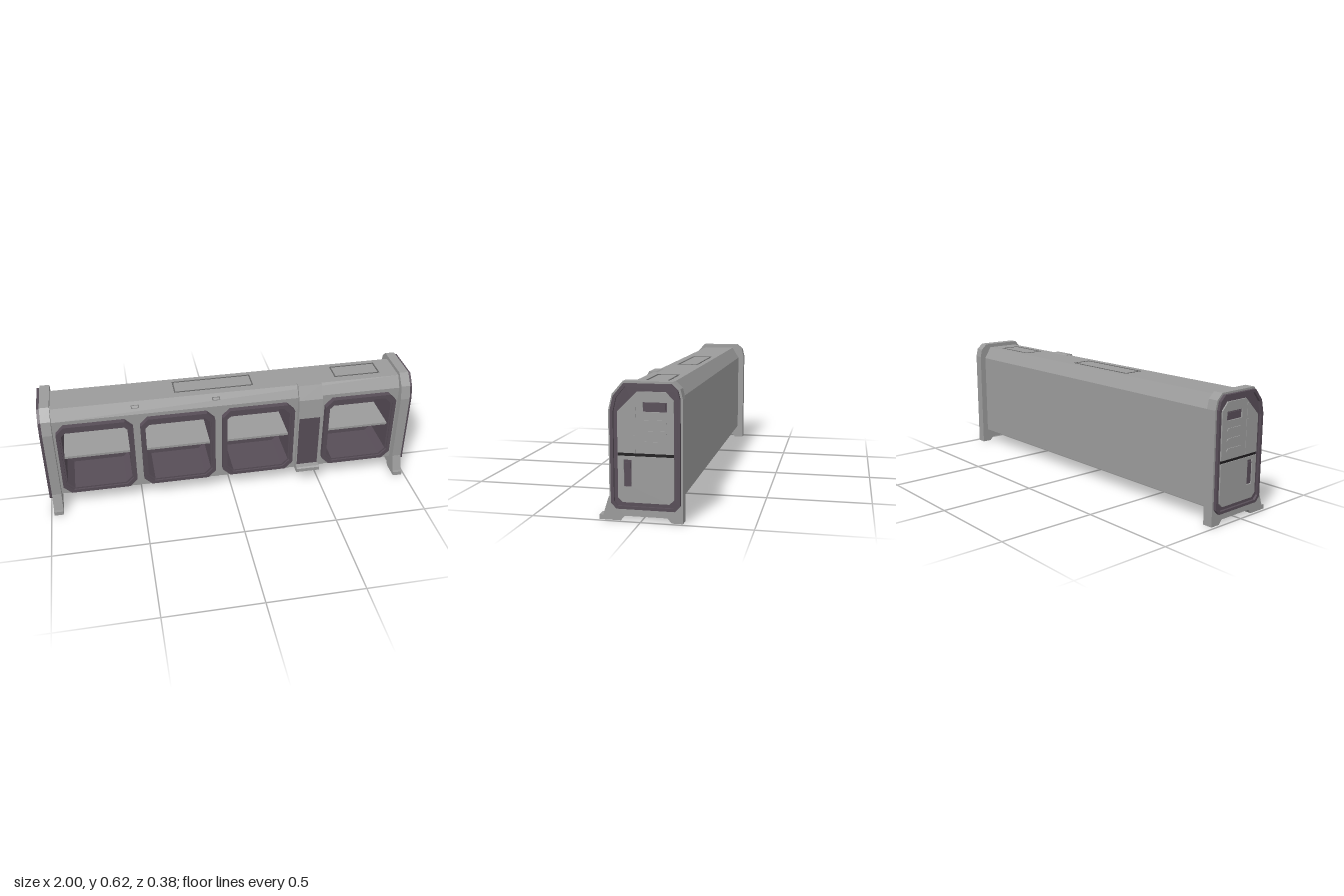
import * as THREE from 'three';

const mat = (name, color) => Object.assign(new THREE.MeshStandardMaterial({ color }), { name });

export function createModel() {
  const grey = mat('hull grey', 0x9b9b9b);
  const dark = mat('dark plum trim', 0x574d57);
  const seam = mat('seam grey', 0x666666);
  const black = mat('gap black', 0x1e1c1e);
  const model = new THREE.Group();
  model.name = 'shelfUnit';

  const add = (name, geo, material, parent = model) => {
    const mesh = new THREE.Mesh(geo, material);
    mesh.name = name;
    parent.add(mesh);
    return mesh;
  };
  const vec = (pts, sx = 1) => pts.map(([a, b]) => new THREE.Vector2(a * sx, b));
  const extrude = (pts, holes, depth, sx = 1) => {
    const shape = new THREE.Shape(vec(pts, sx));
    holes.forEach(h => shape.holes.push(new THREE.Path(vec(h, sx))));
    return new THREE.ExtrudeGeometry(shape, { depth, bevelEnabled: false });
  };
  // Profile given as (z, y), extruded along x between xa and xb
  const alongX = (pts, xa, xb, holes = []) =>
    extrude(pts, holes, Math.abs(xb - xa), -1).rotateY(Math.PI / 2).translate(Math.min(xa, xb), 0, 0);
  // Profile given as (x, y), extruded along z
  const alongZ = (pts, za, zb, holes = []) => extrude(pts, holes, zb - za).translate(0, 0, za);
  const box = (x0, x1, y0, y1, z0, z1) =>
    new THREE.BoxGeometry(x1 - x0, y1 - y0, z1 - z0).translate((x0 + x1) / 2, (y0 + y1) / 2, (z0 + z1) / 2);
  const rect = (a0, a1, b0, b1) => [[a0, b0], [a1, b0], [a1, b1], [a0, b1]];
  const octagon = (a0, a1, b0, b1, c) => [
    [a0 + c, b0], [a1 - c, b0], [a1, b0 + c], [a1, b1 - c],
    [a1 - c, b1], [a0 + c, b1], [a0, b1 - c], [a0, b0 + c]];

  // Hollow body, open at the front
  add('bodyShell', alongX([
    [0.10, 0.075], [-0.155, 0.075], [-0.155, 0.535], [-0.115, 0.60], [0.065, 0.60], [0.10, 0.54],
    [0.09, 0.53], [-0.13, 0.53], [-0.13, 0.085], [0.10, 0.085]], -0.94, 0.94), grey);

  // Front face with one opening for each bay
  const bays = [[-0.92, -0.522], [-0.485, -0.09], [-0.05, 0.345], [0.517, 0.915]];
  add('frontFace', alongZ(rect(-0.94, 0.94, 0.075, 0.54), 0.085, 0.10,
    bays.map(([a, b]) => octagon(a + 0.01, b - 0.01, 0.105, 0.51, 0.04))), grey);

  // Bays: deep chamfered liner, stepped rim, back wall and shelf
  bays.forEach(([a, b]) => {
    const bay = new THREE.Group();
    bay.name = 'bay';
    model.add(bay);
    const inner = octagon(a + 0.026, b - 0.026, 0.121, 0.494, 0.035);
    add('bayLiner', alongZ(octagon(a + 0.005, b - 0.005, 0.10, 0.515, 0.04), -0.12, 0.12, [inner]), dark, bay);
    add('bayRim', alongZ(octagon(a, b, 0.095, 0.52, 0.042), 0.10, 0.13,
      [octagon(a + 0.018, b - 0.018, 0.113, 0.502, 0.038)]), dark, bay);
    add('bayBack', box(a + 0.01, b - 0.01, 0.11, 0.505, -0.126, -0.115), dark, bay);
    add('shelf', box(a + 0.026, b - 0.026, 0.304, 0.317, -0.115, 0.10), grey, bay);
  });

  // Pillar between the bays
  const [p0, p1] = [0.367, 0.497];
  add('pillarHead', alongX([
    [0.03, 0.59], [0.05, 0.604], [0.085, 0.604], [0.125, 0.535], [0.135, 0.425], [0.09, 0.425]], p0, p1), grey);
  add('pillarPanel', box(p0 + 0.004, p1 - 0.004, 0.105, 0.427, 0.095, 0.12), dark);
  for (const x of [p0, p1 - 0.006]) add('pillarEdge', box(x, x + 0.006, 0.10, 0.43, 0.095, 0.125), grey);
  add('pillarFoot', alongX([
    [0.09, 0.072], [0.143, 0.072], [0.157, 0.08], [0.157, 0.10], [0.15, 0.107], [0.09, 0.107]], p0, p1), grey);

  // Hatch outlines on the roof
  for (const [x0, x1] of [[-0.29, 0.135], [0.587, 0.842]]) {
    const frame = extrude(rect(x0, x1, -0.022, 0.085),
      [rect(x0 + 0.007, x1 - 0.007, -0.015, 0.078)], 0.003);
    add('roofHatch', frame.rotateX(-Math.PI / 2).translate(0, 0.599, 0), seam);
  }

  // Small lamps on the front slope
  for (const x of [-0.503, -0.076]) {
    const lamp = new THREE.Group();
    lamp.name = 'slopeLamp';
    lamp.position.set(x, 0.575, 0.0796);
    lamp.rotation.x = -Math.atan2(0.035, 0.06);
    model.add(lamp);
    add('lampFrame', box(-0.021, 0.021, -0.009, 0.009, -0.002, 0.002), seam, lamp);
    add('lampFace', box(-0.016, 0.016, -0.006, 0.006, -0.002, 0.004), grey, lamp);
  }

  // End walls with feet
  const wall = [
    [0.19, 0], [0.19, 0.022], [0.173, 0.022], [0.147, 0.105], [0.143, 0.105], [0.143, 0.49],
    [0.125, 0.562], [0.075, 0.62], [-0.145, 0.62], [-0.177, 0.59], [-0.188, 0.545], [-0.188, 0],
    [-0.137, 0], [-0.118, 0.022], [0.073, 0.022], [0.093, 0]];
  const ringOuter = [
    [0.107, 0.057], [-0.155, 0.057], [-0.178, 0.082], [-0.178, 0.545], [-0.168, 0.585],
    [-0.14, 0.611], [0.07, 0.611], [0.117, 0.555], [0.132, 0.49], [0.132, 0.082]];
  const ringMiddle = [
    [0.10, 0.07], [-0.147, 0.07], [-0.165, 0.09], [-0.165, 0.542], [-0.155, 0.575],
    [-0.13, 0.597], [0.063, 0.597], [0.104, 0.548], [0.118, 0.486], [0.118, 0.09]];
  const lowerPanel = [[0.08, 0.087], [-0.13, 0.087], [-0.15, 0.107], [-0.15, 0.294], [0.10, 0.294], [0.10, 0.107]];
  const upperPanel = [[0.10, 0.308], [-0.15, 0.308], [-0.15, 0.54], [-0.115, 0.577], [0.01, 0.577], [0.10, 0.488]];
  const handle = rect(0.038, 0.073, 0.157, 0.278);
  const vent = rect(-0.12, -0.015, 0.49, 0.532);

  for (const s of [1, -1]) {
    const end = new THREE.Group();
    end.name = s > 0 ? 'leftEnd' : 'rightEnd';
    model.add(end);
    const slab = (name, pts, x0, x1, m, holes) => add(name, alongX(pts, s * x0, s * x1, holes), m, end);
    slab('endWall', wall, 0.935, 0.985, grey);
    slab('endRim', ringOuter, 0.985, 1.0, dark, [ringMiddle]);
    slab('endBacking', ringMiddle, 0.985, 0.988, dark);
    slab('doorLower', lowerPanel, 0.986, 0.995, grey, [handle]);
    slab('doorUpper', upperPanel, 0.986, 0.995, grey, [vent]);
    slab('doorGap', rect(-0.15, 0.10, 0.294, 0.308), 0.986, 0.991, black);
    // Recessed grips in the handle and vent openings
    slab('handleGrip', rect(0.042, 0.069, 0.17, 0.265), 0.987, 0.993, dark);
    slab('ventGrip', rect(-0.112, -0.023, 0.498, 0.526), 0.987, 0.993, dark);
    // Louvres
    for (const y of [0.44, 0.393, 0.346]) {
      slab('louvre', [[-0.013, y], [-0.118, y], [-0.118, y + 0.007], [-0.109, y + 0.015],
        [-0.022, y + 0.015], [-0.013, y + 0.007]], 0.994, 0.999, grey);
    }
    // Broken vertical trim strip
    for (const [y0, y1] of [[0.308, 0.385], [0.395, 0.48], [0.495, 0.555]]) {
      slab('trimStrip', rect(0.018, 0.027, y0, y1), 0.994, 0.997, grey);
    }
  }
  return model;
}
